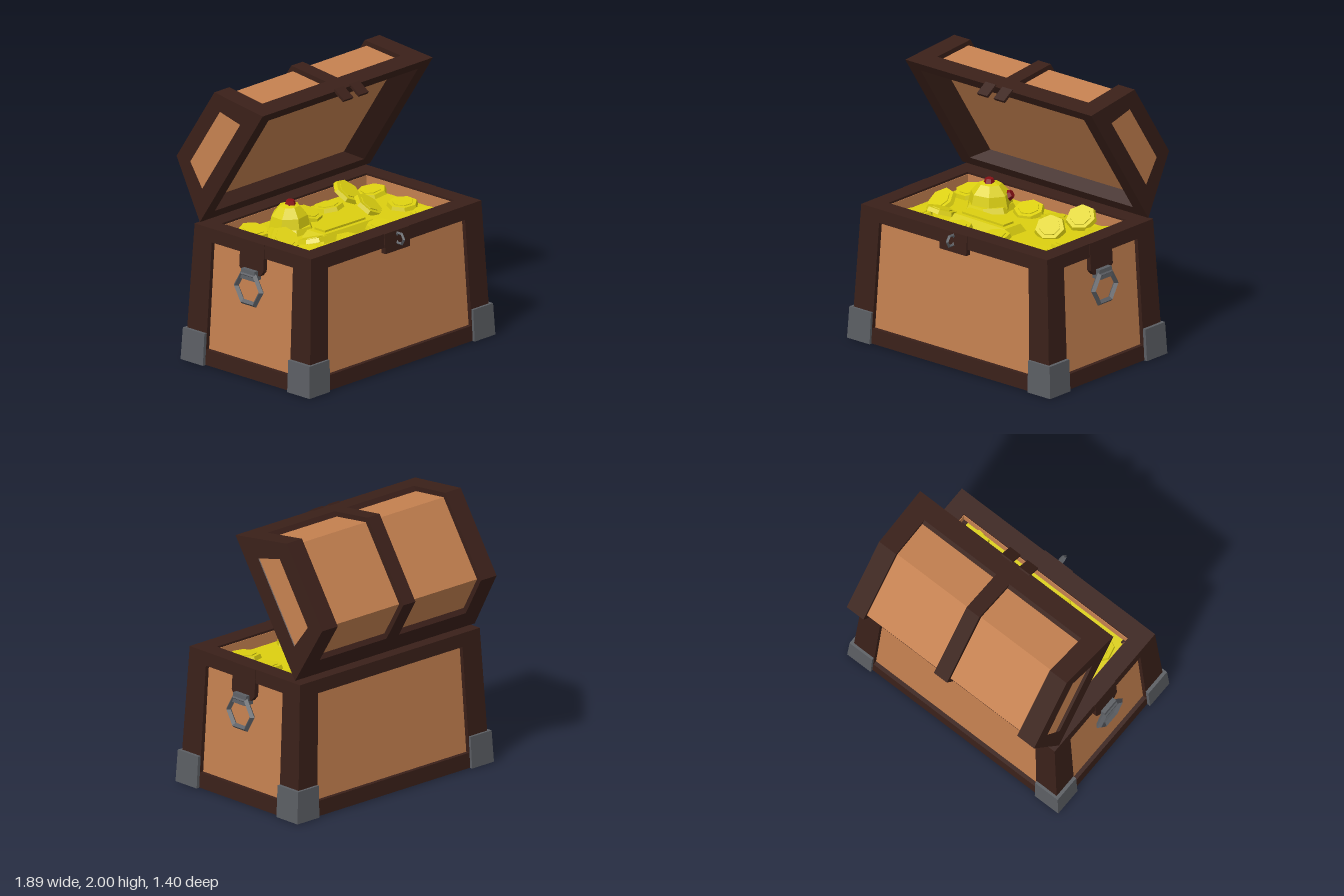
import * as THREE from 'three';

const mat = (color, side = THREE.FrontSide) => new THREE.MeshStandardMaterial({ color, flatShading: true, side });
const wood = mat(0xc58150), dark = mat(0x3a2019), darkOpen = mat(0x3a2019, THREE.DoubleSide);
const metal = mat(0x5b5e63), gold = mat(0xdcd010), ruby = mat(0x8a1015);

function add(parent, name, geometry, material, x = 0, y = 0, z = 0, rx = 0, ry = 0, rz = 0) {
  const mesh = new THREE.Mesh(geometry, material);
  mesh.name = name;
  mesh.position.set(x, y, z);
  mesh.rotation.set(rx, ry, rz);
  parent.add(mesh);
  return mesh;
}

// Box whose bottom and top rectangles [x0, x1, z0, z1] may differ
function taperBox(y0, y1, bottom, top = bottom) {
  const g = new THREE.BoxGeometry(1, 1, 1).toNonIndexed();
  const p = g.attributes.position;
  for (let i = 0; i < p.count; i++) {
    const up = p.getY(i) > 0, r = up ? top : bottom;
    p.setXYZ(i, p.getX(i) > 0 ? r[1] : r[0], up ? y1 : y0, p.getZ(i) > 0 ? r[3] : r[2]);
  }
  g.computeVertexNormals();
  return g;
}

// Lid sides lean in slightly towards the top
const lean = (g) => {
  const p = g.attributes.position;
  for (let i = 0; i < p.count; i++) p.setX(i, p.getX(i) * (1 - 0.068 * p.getY(i)));
  g.computeVertexNormals();
  return g;
};

// Prism with a [z, y] profile running from x0 to x1
function prism(profile, x0, x1, hole) {
  const points = (list) => list.map(([z, y]) => new THREE.Vector2(-z, y));
  const shape = new THREE.Shape(points(profile));
  if (hole) shape.holes.push(new THREE.Path(points(hole)));
  const g = new THREE.ExtrudeGeometry(shape, { depth: x1 - x0, bevelEnabled: false });
  g.rotateY(Math.PI / 2).translate(x0, 0, 0);
  return lean(g);
}

// Open surface joining four-cornered loops [halfX, z0, z1, y]
function loopSurface(loops) {
  const pos = [], index = [];
  for (const [hx, z0, z1, y] of loops) pos.push(-hx, y, z0, hx, y, z0, hx, y, z1, -hx, y, z1);
  for (let r = 0; r < loops.length - 1; r++) {
    for (let k = 0; k < 4; k++) {
      const a = r * 4 + k, b = r * 4 + (k + 1) % 4;
      index.push(a, b, b + 4, a, b + 4, a + 4);
    }
  }
  const g = new THREE.BufferGeometry();
  g.setAttribute('position', new THREE.Float32BufferAttribute(pos, 3));
  g.setIndex(index);
  const flat = g.toNonIndexed();
  flat.computeVertexNormals();
  return flat;
}

function buildBody() {
  const body = new THREE.Group();
  body.name = 'chestBody';
  const hx = (y) => 0.92 - 0.055 * y, hz = (y) => 0.6 - 0.04 * y;
  const rect = (y, inset) => [-hx(y) + inset, hx(y) - inset, -hz(y) + inset, hz(y) - inset];

  add(body, 'woodPanels', taperBox(0.05, 0.89, rect(0.05, 0.03), rect(0.89, 0.03)), wood);
  add(body, 'baseFrame', taperBox(0.004, 0.115, rect(0, 0), rect(0.115, 0)), dark);
  add(body, 'floor', taperBox(0, 0.01, rect(0, 0.01)), wood);

  // Corner posts and metal feet, mirrored to all four corners
  const corner = (sx, sz, [a, b, c, d]) => [
    Math.min(sx * a, sx * b), Math.max(sx * a, sx * b), Math.min(sz * c, sz * d), Math.max(sz * c, sz * d)];
  for (const sx of [-1, 1]) {
    for (const sz of [-1, 1]) {
      add(body, 'cornerPost', taperBox(0.01, 0.91, corner(sx, sz, [0.735, 0.92, 0.405, 0.6]),
        corner(sx, sz, [0.695, hx(0.91), 0.39, hz(0.91)])), dark);
      add(body, 'metalCorner', taperBox(0.002, 0.235, corner(sx, sz, [0.735, 0.945, 0.405, 0.62]),
        corner(sx, sz, [0.73, 0.932, 0.403, 0.61])), metal);
    }
  }

  // Top rim and its inner lining
  for (const s of [-1, 1]) {
    add(body, 'longRim', taperBox(0.9, 1, corner(1, s, [-hx(0.9), hx(0.9), 0.42, hz(0.9)]),
      corner(1, s, [-hx(1), hx(1), 0.42, hz(1)])), dark);
    add(body, 'sideRim', taperBox(0.9, 1, corner(s, 1, [0.735, hx(0.9), -0.43, 0.43]),
      corner(s, 1, [0.735, hx(1), -0.43, 0.43])), dark);
    add(body, 'longLining', taperBox(0.88, 0.985, corner(1, s, [-0.735, 0.735, 0.415, 0.425])), wood);
    add(body, 'sideLining', taperBox(0.88, 0.985, corner(s, 1, [0.73, 0.74, -0.42, 0.42])), wood);

    // Side tab, bracket and hexagonal ring handle
    add(body, 'handleTab', taperBox(0.8, 1, corner(s, 1, [0.8, 0.882, -0.115, 0.115]),
      corner(s, 1, [0.8, 0.869, -0.115, 0.115])), dark);
    add(body, 'handleTabEnd', taperBox(0.765, 0.8, corner(s, 1, [0.8, 0.884, -0.085, 0.085]),
      corner(s, 1, [0.8, 0.882, -0.115, 0.115])), dark);
    add(body, 'handleBracket', taperBox(0.73, 0.8, corner(s, 1, [0.85, 0.925, -0.065, 0.065]),
      corner(s, 1, [0.85, 0.915, -0.065, 0.065])), metal);
    add(body, 'handleRing', new THREE.TorusGeometry(0.12, 0.022, 4, 6), metal, s * 0.907, 0.66, 0, 0, Math.PI / 2);
  }

  // Front clasp plate with staple
  add(body, 'claspPlate', taperBox(0.855, 1, [-0.125, 0.125, 0.5, 0.576], [-0.125, 0.125, 0.5, 0.566]), dark);
  add(body, 'claspStaple', new THREE.TorusGeometry(0.042, 0.012, 4, 6), metal, 0, 0.945, 0.593, 0, Math.PI / 2);
  return body;
}

function buildLid() {
  const lid = new THREE.Group();
  lid.name = 'lid';
  const outline = [[0, 0], [1.105, 0], [0.885, 0.44], [0.22, 0.44]];
  const endHole = [[0.217, 0.123], [0.885, 0.123], [0.81, 0.32], [0.29, 0.32]];
  const upper = [[0.06, 0.12], [1.045, 0.12], [0.885, 0.44], [0.22, 0.44]];

  add(lid, 'lidPanels', prism([[0.09, 0.1], [1.015, 0.1], [0.863, 0.405], [0.242, 0.405]], -0.835, 0.835), wood);
  add(lid, 'centreBand', prism(upper, -0.06, 0.06), dark);
  for (const s of [-1, 1]) {
    const span = (a, b) => (s > 0 ? [a, b] : [-b, -a]);
    add(lid, 'endBand', prism(upper, ...span(0.71, 0.81)), dark);
    add(lid, 'endFrame', prism(outline, ...span(0.8, 0.865), endHole), dark);
    // Two-pronged hasp
    add(lid, 'haspProng', new THREE.BoxGeometry(0.095, 0.11, 0.02), dark, s * 0.078, -0.04, 1.102);
  }
  add(lid, 'frontBorder', prism([[1.03, 0], [1.105, 0], [1.035, 0.14], [0.98, 0.14]], -0.81, 0.81), dark);
  add(lid, 'backBorder', prism([[0, 0], [0.075, 0], [0.11, 0.14], [0.07, 0.14]], -0.81, 0.81), dark);
  // Underside rim and sloping inner walls
  add(lid, 'innerRim', loopSurface([[0.864, 0.001, 1.104, 0], [0.76, 0.08, 1.025, 0], [0.63, 0.1, 0.88, 0.1]]), darkOpen);

  lid.position.set(0, 1.02, -0.445);
  lid.rotation.x = -0.992;
  return lid;
}

function buildTreasure() {
  const t = new THREE.Group();
  t.name = 'treasure';
  add(t, 'goldFill', new THREE.BoxGeometry(1.468, 0.04, 0.84), gold, 0, 0.88, 0.065);

  // Coins: x, y, z, tilt about x, tilt about z
  const coins = [
    [-0.6, 0.915, 0.33, 0.05, 0.1], [-0.2, 0.915, 0.37, 0.1, 0], [0.14, 0.925, 0.35, -0.1, 0.2],
    [0.56, 0.92, 0.38, 0.12, -0.1], [0.36, 0.95, 0.02, 0.45, 0.3], [-0.03, 0.93, -0.2, 0.3, 0.1],
    [-0.58, 0.95, 0.1, 0.35, -0.3], [-0.58, 0.94, -0.2, 0.4, 0.2], [0.6, 0.92, 0.12, 0.1, 0.1],
    [0.42, 0.97, -0.24, 0.6, -0.2], [0.2, 0.92, -0.22, -0.2, 0.1], [-0.45, 0.95, 0.25, 0.2, -0.5],
    [0.62, 0.93, -0.2, 0.2, -0.3]];
  const rim = new THREE.CylinderGeometry(0.105, 0.115, 0.03, 7);
  const face = new THREE.CylinderGeometry(0.075, 0.08, 0.042, 7);
  coins.forEach(([x, y, z, rx, rz], i) => {
    const coin = new THREE.Group();
    coin.name = 'coin';
    add(coin, 'coinRim', rim, gold);
    add(coin, 'coinFace', face, gold);
    coin.position.set(x, y, z);
    coin.rotation.set(rx, i * 0.7, rz);
    t.add(coin);
  });

  // Gold ingot with a raised top
  add(t, 'ingot', taperBox(0.88, 0.955, [-0.28, 0.28, -0.12, 0.12], [-0.24, 0.24, -0.08, 0.08]), gold, -0.09, 0, 0.17, 0, -0.03);
  add(t, 'ingotTop', taperBox(0.95, 0.97, [-0.2, 0.2, -0.05, 0.05]), gold, -0.09, 0, 0.17, 0, -0.03);

  // Domed ornament set with rubies
  const dome = new THREE.SphereGeometry(0.165, 7, 6).scale(1, 1.1, 0.9);
  add(t, 'ornamentDome', dome, gold, -0.31, 0.93, -0.11, 0, 0.4);
  add(t, 'ornamentBase', new THREE.CylinderGeometry(0.16, 0.18, 0.04, 7), gold, -0.31, 0.93, -0.11, 0, 0.4);
  add(t, 'topRuby', new THREE.CylinderGeometry(0.03, 0.042, 0.035, 6), ruby, -0.31, 1.11, -0.1);
  add(t, 'sideRuby', new THREE.CylinderGeometry(0.03, 0.04, 0.04, 6), ruby, -0.19, 1.01, -0.18, -0.6, 0, -0.9);
  return t;
}

export function createModel() {
  const model = new THREE.Group();
  model.name = 'treasureChest';
  const body = buildBody();
  body.position.z = 0.065;
  model.add(body, buildLid(), buildTreasure());
  return model;
}
